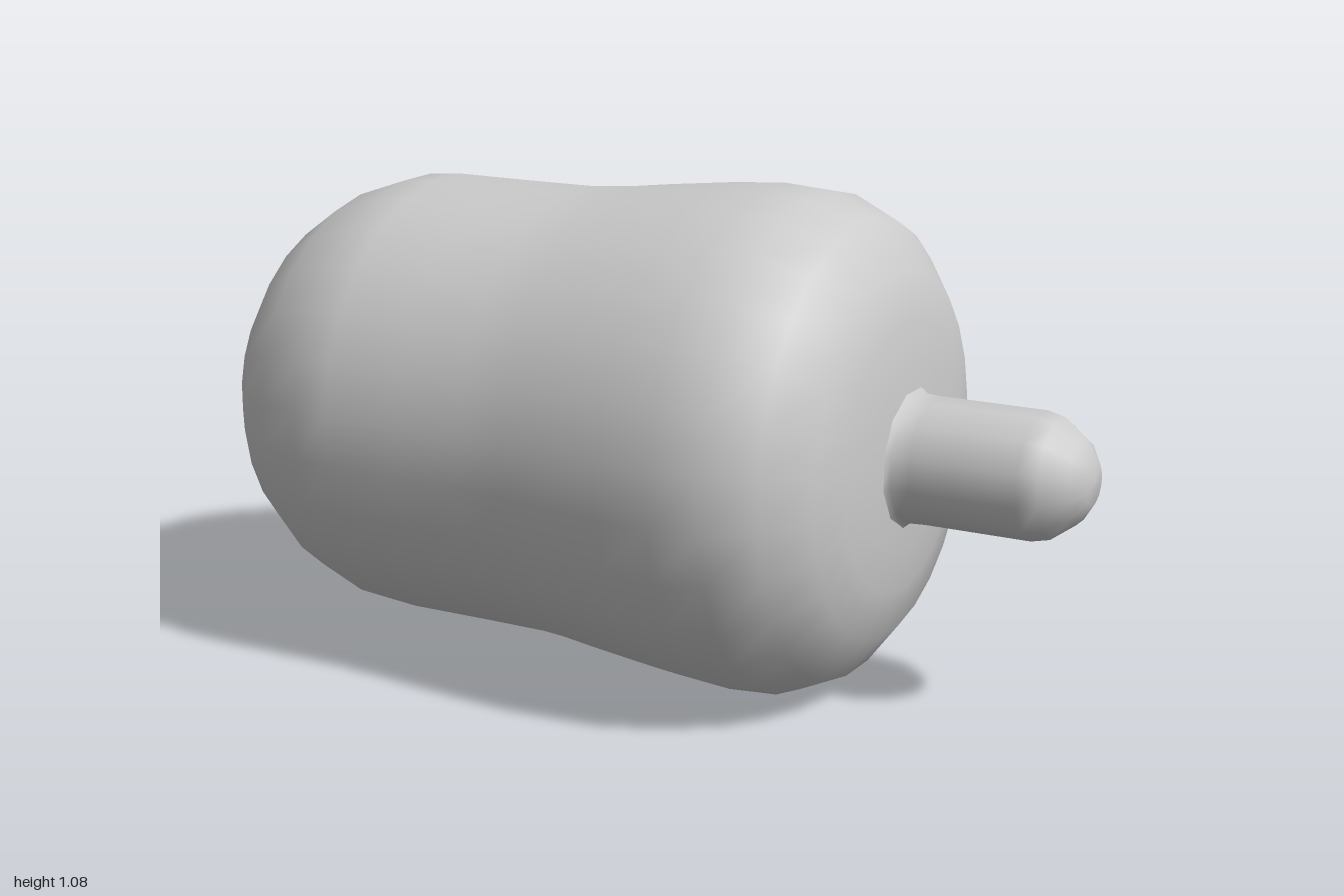
import * as THREE from 'three';

const CENTRE_Y = 0.5425;

// Turn a list of [x, radius] pairs around the horizontal axis
function turned(name, profile, sides, material) {
  const points = profile.map(([x, r]) => new THREE.Vector2(r, x));
  const geometry = new THREE.LatheGeometry(points, sides, Math.PI / sides);
  geometry.rotateZ(-Math.PI / 2);
  const mesh = new THREE.Mesh(geometry, material);
  mesh.name = name;
  mesh.position.y = CENTRE_Y;
  return mesh;
}

export function createModel() {
  const group = new THREE.Group();
  group.name = 'bulb';
  const grey = new THREE.MeshStandardMaterial({ color: 0xcccccc });

  // Rounded body: domed left end, gentle waist, wide shoulder, shallow right face
  group.add(turned('body', [
    [-1, 0], [-1, 0.055], [-0.975, 0.165], [-0.925, 0.27], [-0.84, 0.375],
    [-0.74, 0.445], [-0.62, 0.487], [-0.54, 0.494], [-0.36, 0.494], [-0.2, 0.495],
    [-0.1, 0.503], [0, 0.516], [0.15, 0.533], [0.27, 0.542], [0.38, 0.535],
    [0.485, 0.487], [0.56, 0.39], [0.585, 0.29], [0.597, 0.2], [0.602, 0.12],
  ], 28, grey));

  // Narrow stem with a small flare at the base and a rounded tip
  group.add(turned('stem', [
    [0.598, 0.15], [0.61, 0.136], [0.65, 0.134], [0.76, 0.134], [0.88, 0.134],
    [0.92, 0.125], [0.97, 0.088], [0.997, 0.045], [1, 0],
  ], 12, grey));

  return group;
}
